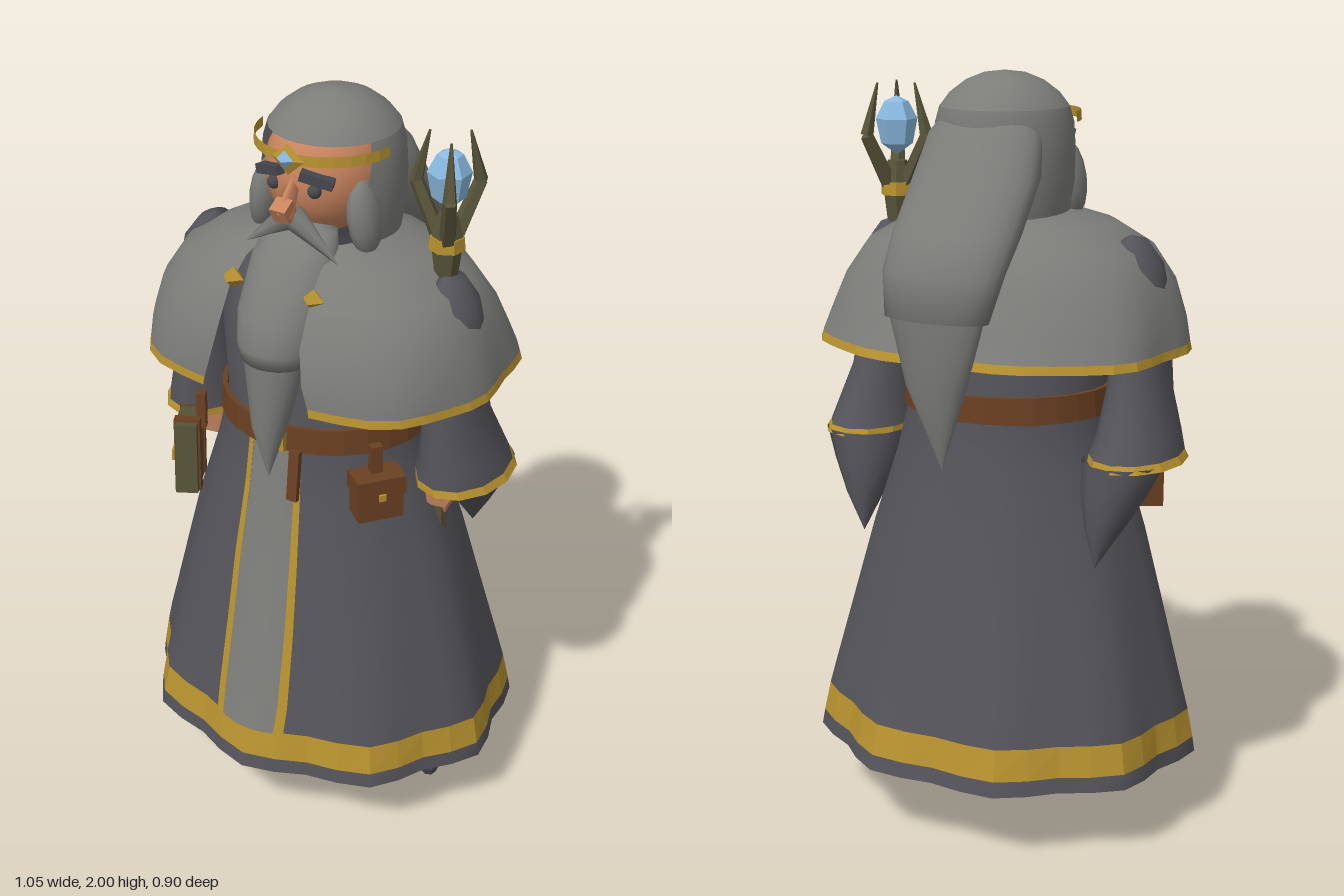
import * as THREE from 'three';

const mat = (name, color, flat = false) => {
  const m = new THREE.MeshStandardMaterial({ color, side: THREE.DoubleSide, flatShading: flat });
  m.name = name;
  return m;
};

// Skin through horizontal elliptical rings listed from top to bottom.
// Angle 0 faces +z and grows towards +x; wave adds nine folds, sq squares the outline.
function loft(rings, n = 24) {
  const pos = [], idx = [];
  const closed = rings[0].a0 === undefined;
  const cols = closed ? n : n + 1;
  for (const { y, rx, rz, x, z, wave, sq, a0 = 0, a1 = Math.PI * 2 } of rings) {
    for (let j = 0; j < cols; j++) {
      const a = a0 + (a1 - a0) * j / n;
      const k = (1 + wave * Math.cos(9 * a)) * (1 + sq * Math.sin(2 * a) ** 2);
      pos.push(x + rx * k * Math.sin(a), y, z + rz * k * Math.cos(a));
    }
  }
  for (let i = 0; i < rings.length - 1; i++) {
    for (let j = 0; j < n; j++) {
      const j2 = closed ? (j + 1) % n : j + 1;
      const a = i * cols + j, b = i * cols + j2, c = a + cols, d = b + cols;
      idx.push(a, c, b, b, c, d);
    }
  }
  const g = new THREE.BufferGeometry();
  g.setAttribute('position', new THREE.Float32BufferAttribute(pos, 3));
  g.setIndex(idx);
  g.computeVertexNormals();
  return g;
}
const R = (y, rx, rz, x = 0, z = 0, wave = 0, sq = 0) => ({ y, rx, rz, x, z, wave, sq });
const arc = (ring, a0, a1 = Math.PI * 2 - a0) => ({ ...ring, a0, a1 });
const grow = (ring, d) => ({ ...ring, rx: ring.rx + d, rz: ring.rz + d });

export function createModel() {
  const root = new THREE.Group();
  const robeMat = mat('robe dark grey', 0x55545a);
  const grey = mat('light grey', 0x7c7c79);
  const gold = mat('gold', 0xb8922f, true);
  const brown = mat('leather brown', 0x6b4022, true);
  const skin = mat('skin', 0xc8845e);
  const wood = mat('olive wood', 0x575339, true);
  const crystal = mat('crystal blue', 0x8abbe2, true);
  const iron = mat('dark iron', 0x47484e, true);

  const add = (name, geo, m, p = [0, 0, 0], r = [0, 0, 0], s = [1, 1, 1], parent = root) => {
    const mesh = new THREE.Mesh(geo, m);
    mesh.name = name;
    mesh.position.set(...p);
    mesh.rotation.set(...r);
    mesh.scale.set(...s);
    parent.add(mesh);
    return mesh;
  };
  const box = (w, h, d) => new THREE.BoxGeometry(w, h, d);
  const group = (name, p, r = [0, 0, 0]) => {
    const g = new THREE.Group();
    g.name = name;
    g.position.set(...p);
    g.rotation.set(...r);
    root.add(g);
    return (part, geo, m, q = [0, 0, 0]) => add(part, geo, m, q, [0, 0, 0], [1, 1, 1], g);
  };

  // Robe with wavy skirt, gold band and closed underside
  const robe = [
    R(1.62, 0.12, 0.12), R(1.55, 0.24, 0.2), R(1.4, 0.28, 0.25), R(1.17, 0.265, 0.25),
    R(1.0, 0.31, 0.272, 0, 0, 0.006), R(0.8, 0.375, 0.315, 0, -0.004, 0.012), R(0.6, 0.428, 0.355, 0, -0.008, 0.02),
    R(0.4, 0.479, 0.4, 0, -0.012, 0.028), R(0.32, 0.498, 0.419, 0, -0.013, 0.032),
    R(0.24, 0.511, 0.437, 0, -0.014, 0.036), R(0.2, 0.516, 0.444, 0, -0.015, 0.038),
  ];
  add('robe', loft(robe.slice(0, 9), 36), robeMat);
  add('robeGoldBand', loft(robe.slice(8, 10), 36), gold);
  add('robeHem', loft(robe.slice(9), 36), robeMat);
  add('robeUnderside', loft([robe[10], R(0.2, 0, 0)], 36), robeMat);

  // Front panel and its gold edging
  const skirt = robe.slice(3, 9).map(r => grow(r, 0.006));
  const half = i => 0.235 - 0.013 * i;
  add('frontPanel', loft(skirt.map((r, i) => arc(r, -half(i), half(i))), 12), grey);
  for (const s of [-1, 1]) {
    add('panelEdge', loft(skirt.map((r, i) => {
      const a = s * (half(i) - 0.01), b = s * (half(i) + 0.045);
      return arc(grow(r, 0.004), Math.min(a, b), Math.max(a, b));
    }), 3), gold);
  }

  // Shoulder cape, open at the front
  const cape = [
    arc(R(1.655, 0.14, 0.15), 0.7), arc(R(1.62, 0.28, 0.225, 0, 0, 0, 0.02), 0.38),
    arc(R(1.56, 0.385, 0.28, 0, 0, 0, 0.04), 0.3), arc(R(1.47, 0.44, 0.328, 0, 0, 0.004, 0.06), 0.27),
    arc(R(1.38, 0.468, 0.358, 0, -0.007, 0.01, 0.07), 0.29),
    arc(R(1.322, 0.48, 0.373, 0, -0.018, 0.016, 0.075), 0.32), arc(R(1.3, 0.485, 0.378, 0, -0.02, 0.018, 0.075), 0.325),
  ];
  add('cape', loft(cape.slice(0, 6), 36), grey);
  add('capeTrim', loft(cape.slice(5), 36), gold);

  // Belt, buckle and hanging end
  add('belt', loft([R(1.2, 0.27, 0.255), R(1.2, 0.283, 0.266), R(1.13, 0.288, 0.269), R(1.13, 0.27, 0.255)], 28), brown);
  add('buckle', box(0.08, 0.07, 0.02), gold, [0, 1.165, 0.268]);
  add('beltEnd', box(0.03, 0.14, 0.015), brown, [0.07, 1.07, 0.276], [-0.12, 0, 0]);

  // Belt pouch
  const pouch = group('pouch', [0.27, 1.04, 0.2], [0, 0.9, 0]);
  pouch('pouchBody', box(0.12, 0.11, 0.07), brown);
  pouch('pouchFlap', box(0.13, 0.05, 0.08), brown, [0, 0.04, 0]);
  pouch('pouchStud', box(0.018, 0.018, 0.008), gold, [0, 0.015, 0.043]);
  pouch('pouchLoop', box(0.03, 0.1, 0.025), brown, [0, 0.09, -0.01]);

  // Hanging book
  const book = group('book', [-0.335, 0.965, 0.17], [0, -1.1, 0.08]);
  book('bookCover', box(0.14, 0.2, 0.06), wood);
  book('bookSpine', box(0.022, 0.205, 0.066), brown, [-0.066, 0, 0]);
  book('bookStrap', box(0.03, 0.21, 0.07), brown, [0.03, 0, 0]);
  book('bookClasp', box(0.03, 0.03, 0.008), gold, [0.03, 0, 0.038]);
  book('bookLoop', box(0.035, 0.1, 0.025), brown, [0, 0.12, -0.035]);

  // Sleeves with gold cuffs, drooping points, and hands
  for (const s of [-1, 1]) {
    const x = 0.39 * s;
    const sleeve = [
      R(1.6, 0, 0, 0.345 * s), R(1.587, 0.032, 0.05, 0.352 * s), R(1.53, 0.053, 0.073, 0.374 * s),
      R(1.46, 0.058, 0.08, 0.384 * s), R(1.3, 0.072, 0.1, 0.38 * s), R(1.2, 0.08, 0.118, 0.38 * s, -0.01),
      R(1.1, 0.1, 0.147, x, -0.03), R(1.05, 0.114, 0.163, x, -0.042), R(1.03, 0.121, 0.17, 0.395 * s, -0.045),
    ];
    add('sleeve', loft(sleeve.slice(0, 8), 12), robeMat);
    add('cuffTrim', loft(sleeve.slice(7), 12), gold);
    add('sleeveLining', loft([sleeve[8], R(1.04, 0, 0, x, -0.04)], 12), robeMat);
    add('sleevePoint', loft([
      R(1.04, 0.11, 0.11, 0.383 * s, -0.105), R(0.96, 0.088, 0.088, 0.37 * s, -0.13),
      R(0.87, 0.05, 0.053, 0.357 * s, -0.165), R(0.77, 0, 0, 0.345 * s, -0.195),
    ], 12), robeMat);
    add('hand', new THREE.DodecahedronGeometry(0.058), skin, [0.357 * s, 0.985, 0.005], [0, 0, 0], [0.8, 1, 1.15]);
    add('fingers', new THREE.ConeGeometry(0.045, 0.1, 6), skin, [0.352 * s, 0.935, -0.01], [Math.PI, 0, 0]);
  }

  // Head and face
  add('head', new THREE.SphereGeometry(1, 24, 16), skin, [0, 1.81, 0], [0, 0, 0], [0.153, 0.165, 0.167]);
  add('nose', new THREE.CylinderGeometry(0.016, 0.03, 0.1, 4), skin, [0, 1.785, 0.178], [-0.6, 0, 0]);
  add('noseTip', box(0.045, 0.045, 0.042), skin, [0, 1.76, 0.203], [0.5, 0, 0]);
  for (const s of [-1, 1]) {
    add('eye', new THREE.SphereGeometry(0.018, 10, 8), iron, [0.058 * s, 1.805, 0.153]);
    add('eyebrow', box(0.085, 0.024, 0.03), iron, [0.066 * s, 1.838, 0.155], [0, 0.35 * s, -0.25 * s]);
    add('moustache', new THREE.ConeGeometry(0.036, 0.17, 8), grey, [0.068 * s, 1.685, 0.168], [0, 0, -s * 2.22], [1, 1, 0.9]);
    add('whisker', new THREE.SphereGeometry(1, 12, 8), grey, [0.142 * s, 1.725, 0.06], [0, 0, 0.15 * s], [0.04, 0.1, 0.055]);
    add('capeClasp', new THREE.OctahedronGeometry(0.03), gold, [0.117 * s, 1.572, 0.252]);
  }

  // Circlet around the brow
  add('circlet', loft([R(1.9, 0.182, 0.178), R(1.873, 0.184, 0.18)].map(r => arc(r, -1.5, 1.5)), 14), gold);
  add('circletPlate', new THREE.OctahedronGeometry(0.045), gold, [0, 1.885, 0.18], [0, 0, 0], [1, 0.9, 0.4]);
  add('circletGem', new THREE.OctahedronGeometry(0.024), crystal, [0, 1.888, 0.194], [0, 0, 0], [1, 1, 0.7]);

  // Beard in two overlapping locks
  add('beardUpper', loft([
    R(1.72, 0, 0, 0, 0.1), R(1.69, 0.09, 0.06, 0, 0.11), R(1.62, 0.115, 0.09, 0, 0.15), R(1.5, 0.115, 0.095, 0, 0.215),
    R(1.42, 0.104, 0.088, 0, 0.24), R(1.38, 0.09, 0.075, 0, 0.248), R(1.375, 0, 0, 0, 0.248),
  ]), grey);
  add('beardTip', loft([R(1.39, 0.085, 0.07, 0, 0.25), R(1.2, 0.048, 0.045, 0, 0.278), R(1.05, 0, 0, 0, 0.287)], 16), grey);

  // Hood: closed dome, open-faced sides and long hanging tail
  const dz = -0.032;
  add('hoodDome', loft([
    R(2.0, 0, 0, 0, dz), R(1.993, 0.055, 0.055, 0, dz), R(1.975, 0.1, 0.1, 0, dz),
    R(1.945, 0.14, 0.14, 0, dz), R(1.91, 0.166, 0.168, 0, dz),
  ]), grey);
  add('hoodSides', loft([
    arc(R(1.911, 0.166, 0.168, 0, dz), 1.1), arc(R(1.87, 0.178, 0.178, 0, dz), 1.08), arc(R(1.8, 0.183, 0.18, 0, dz), 1.0),
    arc(R(1.72, 0.182, 0.178, 0, dz), 0.85), arc(R(1.635, 0.168, 0.165, 0, dz), 0.8),
  ]), grey);
  add('hoodTailUpper', loft([
    R(1.93, 0, 0, 0, -0.1), R(1.91, 0.11, 0.07, 0, -0.11), R(1.85, 0.155, 0.09, 0, -0.135), R(1.75, 0.172, 0.11, 0, -0.18),
    R(1.62, 0.172, 0.11, 0, -0.285), R(1.53, 0.165, 0.09, 0, -0.355), R(1.42, 0.145, 0.055, 0, -0.39), R(1.4, 0, 0, 0, -0.39),
  ]), grey);
  add('hoodTailTip', loft([R(1.44, 0.138, 0.05, 0, -0.39), R(1.25, 0.085, 0.04, 0, -0.394), R(1.03, 0, 0, 0, -0.37)], 16), grey);

  // Staff with iron foot, gold collar, three prongs and a crystal
  const staff = group('staff', [0.335, 0, -0.01]);
  const cyl = (name, rt, rb, y0, y1, m) => staff(name, new THREE.CylinderGeometry(rt, rb, y1 - y0, 7), m, [0, (y0 + y1) / 2, 0]);
  cyl('staffFootTip', 0.03, 0.02, 0, 0.025, iron);
  cyl('staffFoot', 0.026, 0.03, 0.025, 0.095, iron);
  cyl('staffShaft', 0.025, 0.024, 0.09, 1.58, wood);
  cyl('staffNeck', 0.038, 0.027, 1.57, 1.66, wood);
  cyl('staffCollar', 0.044, 0.046, 1.66, 1.695, gold);
  cyl('staffSocket', 0.026, 0.04, 1.695, 1.75, wood);
  const up = new THREE.Vector3(0, 1, 0);
  const path = [[0.025, 1.69, 0.022], [0.09, 1.82, 0.018], [0.056, 1.955, 0.003]];
  for (const a of [Math.PI, Math.PI / 3, -Math.PI / 3]) {
    for (let i = 0; i < 2; i++) {
      const [p, q] = [path[i], path[i + 1]].map(([r, y]) => new THREE.Vector3(r * Math.cos(a), y, r * Math.sin(a)));
      const prong = staff('staffProng', new THREE.CylinderGeometry(path[i + 1][2], path[i][2], p.distanceTo(q), 5), wood,
        p.clone().add(q).multiplyScalar(0.5).toArray());
      prong.quaternion.setFromUnitVectors(up, q.clone().sub(p).normalize());
    }
  }
  staff('staffCrystal', new THREE.LatheGeometry(
    [[0, 1.765], [0.042, 1.795], [0.055, 1.86], [0.032, 1.905], [0, 1.92]].map(p => new THREE.Vector2(...p)), 6), crystal);

  return root;
}
